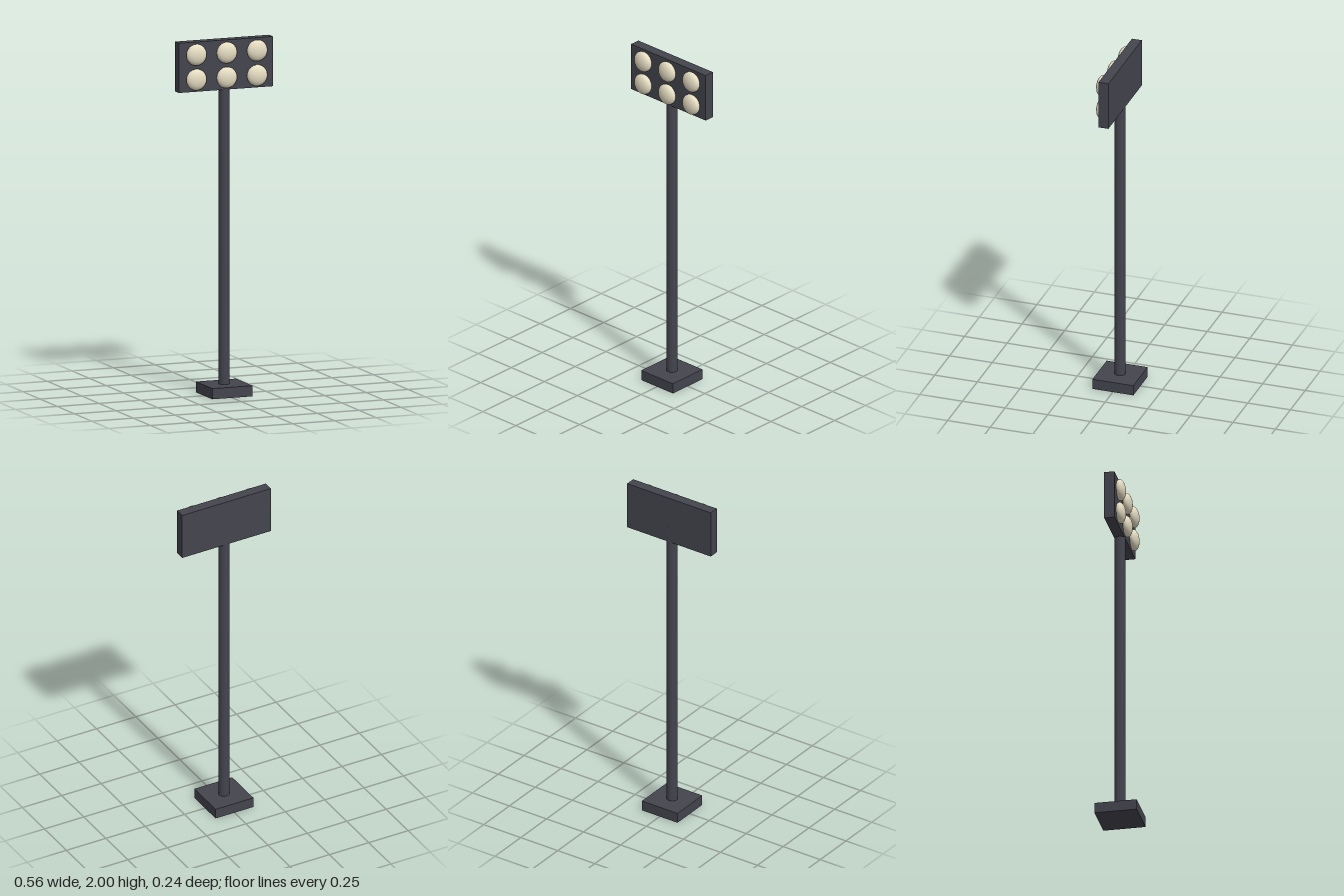
import * as THREE from 'three';

export function createModel() {
  const model = new THREE.Group();
  model.name = 'floodlightMast';

  const steel = new THREE.MeshStandardMaterial({ color: 0x44444e });
  steel.name = 'dark steel';
  const glow = new THREE.MeshStandardMaterial({ color: 0xe8dfc4 });
  glow.name = 'warm lamp';

  const add = (name, geometry, material, x, y, z) => {
    const mesh = new THREE.Mesh(geometry, material);
    mesh.name = name;
    mesh.position.set(x, y, z);
    model.add(mesh);
    return mesh;
  };

  // Square foot and round pole, whose top slightly shows behind the panel
  add('base', new THREE.BoxGeometry(0.24, 0.06, 0.24), steel, 0, 0.03, 0);
  add('pole', new THREE.CylinderGeometry(0.031, 0.031, 1.78, 16), steel, 0, 0.93, 0);

  // Lamp panel
  add('lampPanel', new THREE.BoxGeometry(0.564, 0.28, 0.058), steel, 0, 1.86, -0.001);

  // Two rows of three flattened lamps
  const lampGeometry = new THREE.SphereGeometry(0.06, 24, 16);
  for (const y of [1.79, 1.93]) {
    for (const x of [-0.182, 0, 0.182]) {
      add('lamp', lampGeometry, glow, x, y, 0.04).scale.z = 0.5;
    }
  }

  return model;
}
